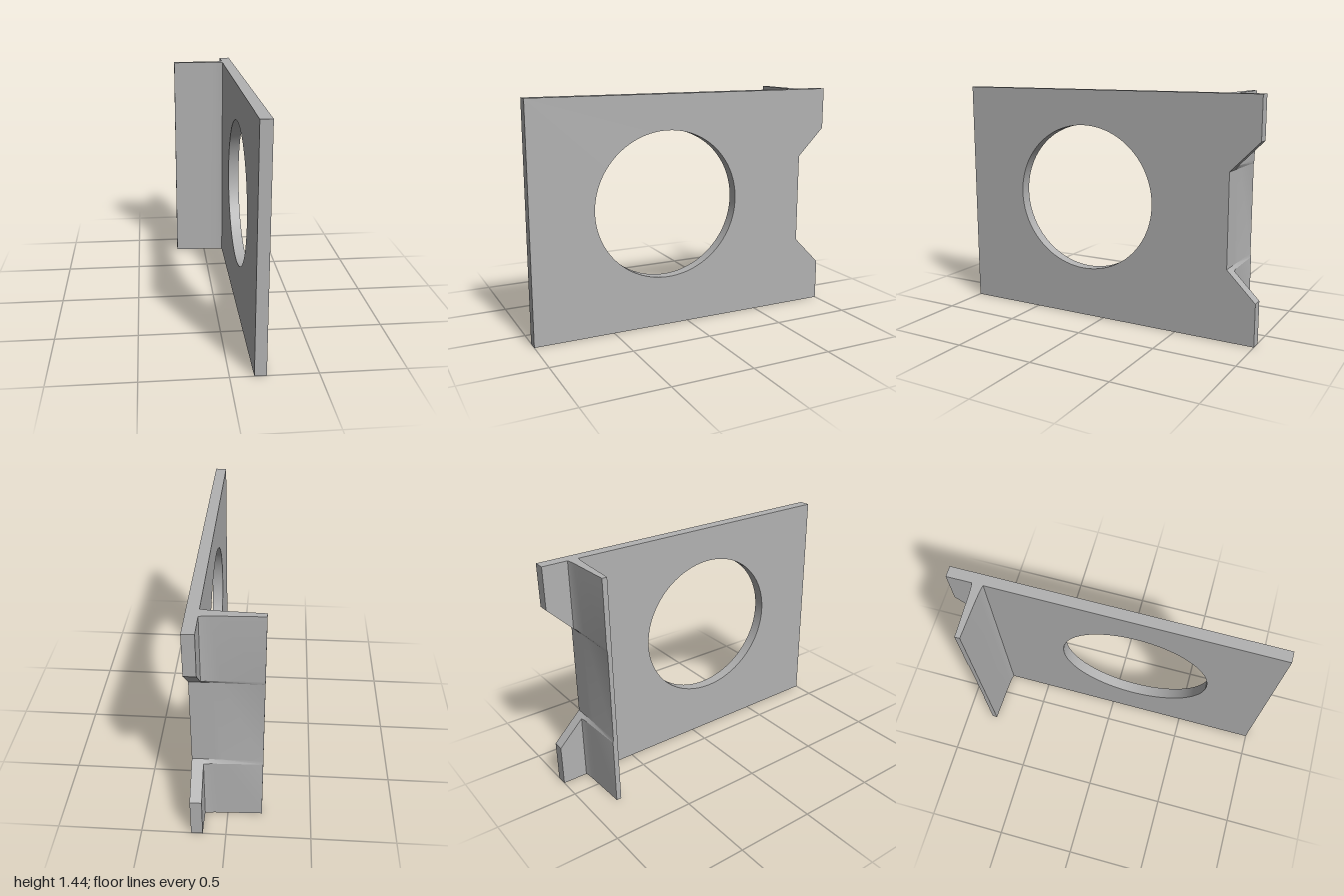
import * as THREE from 'three';
import { toCreasedNormals } from 'three/addons/utils/BufferGeometryUtils.js';

const HEIGHT = 1.44, INNER = 0.137, OUTER = 0.206;
const NOTCH_Z = -0.822, NOTCH_LOW = 0.437, NOTCH_HIGH = 1.004;

export function createModel() {
  const model = new THREE.Group();
  model.name = 'bracket';
  const grey = new THREE.MeshStandardMaterial({ color: 0xb2b2b2 });
  grey.name = 'plain grey';

  const add = (name, geometry) => {
    const mesh = new THREE.Mesh(toCreasedNormals(geometry, 0.45), grey);
    mesh.name = name;
    model.add(mesh);
  };

  // Upright plate with an oval opening and a chamfered notch in its back edge
  const outline = new THREE.Shape([
    [-1, 0], [1, 0], [1, 0.26], [-NOTCH_Z, NOTCH_LOW],
    [-NOTCH_Z, NOTCH_HIGH], [1, 1.182], [1, HEIGHT], [-1, HEIGHT],
  ].map(([u, y]) => new THREE.Vector2(u, y)));
  outline.holes.push(new THREE.Path().absellipse(-0.135, 0.767, 0.473, 0.456, 0, Math.PI * 2, true));
  const plate = new THREE.ExtrudeGeometry(outline, {
    depth: OUTER - INNER, bevelEnabled: false, curveSegments: 64,
  });
  plate.rotateY(Math.PI / 2).translate(INNER, 0, 0);
  add('plate', plate);

  // Tapered flange, flaring where it meets the plate (x, z section)
  const section = new THREE.Shape([
    [-0.206, -0.795], [0.03, -0.786], [0.08, -0.783], [0.115, -0.780], [INNER, -0.775],
    [INNER, -0.844], [0.115, -0.839], [0.08, -0.836], [0.03, -0.834], [-0.206, -0.826],
  ].map(([x, z]) => new THREE.Vector2(x, -z)));
  const flange = new THREE.ExtrudeGeometry(section, { depth: 5, steps: 5, bevelEnabled: false });
  flange.rotateX(-Math.PI / 2);

  // Place the levels and trim the flange's back flush with the notch
  const levels = [0, NOTCH_LOW - 0.022, NOTCH_LOW, NOTCH_HIGH, NOTCH_HIGH + 0.022, HEIGHT];
  const p = flange.attributes.position;
  for (let i = 0; i < p.count; i++) {
    const level = Math.round(p.getY(i));
    p.setY(i, levels[level]);
    if (level === 2 || level === 3) p.setZ(i, Math.max(p.getZ(i), NOTCH_Z));
  }
  add('flange', flange);

  return model;
}
